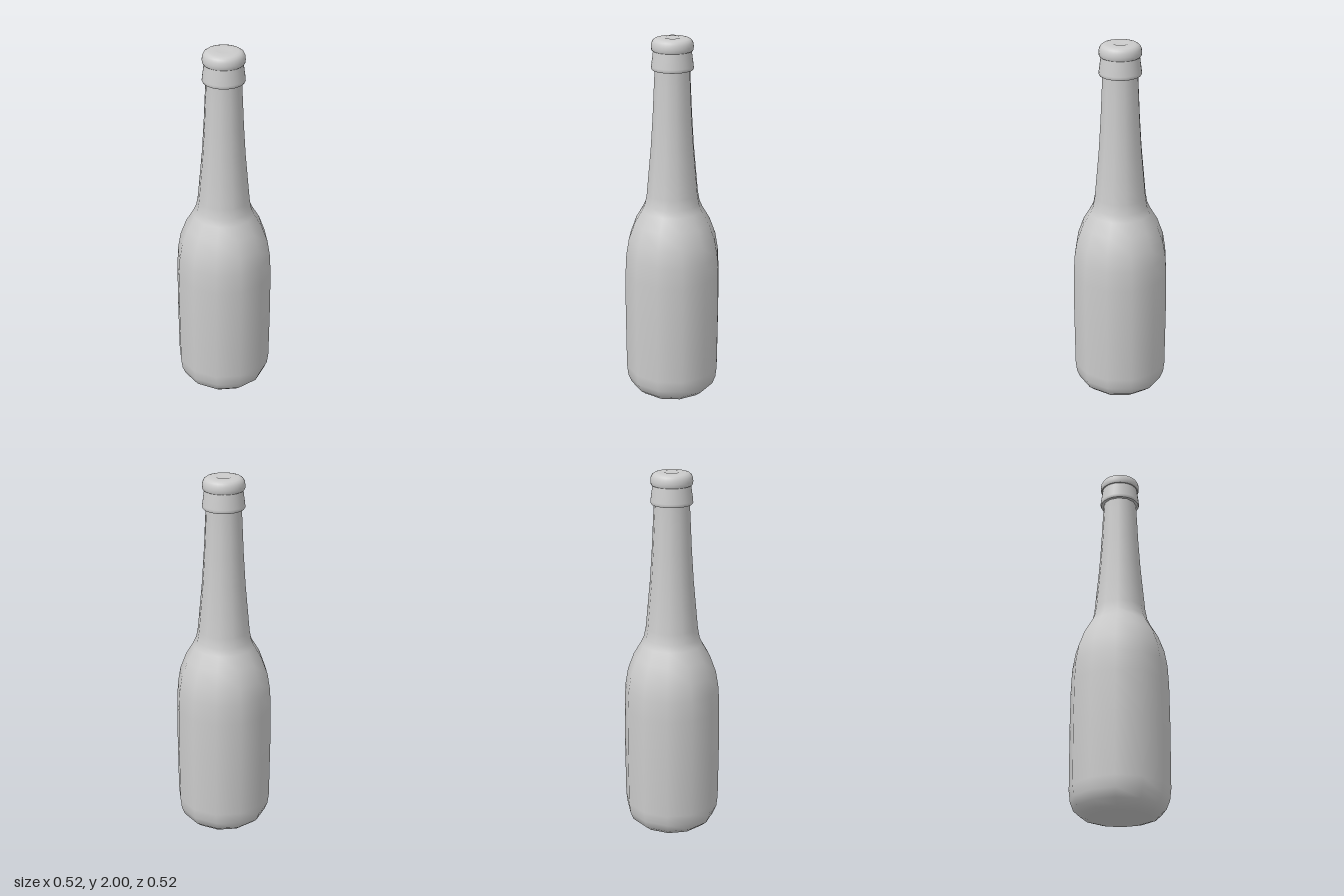
import * as THREE from 'three';

const grey = new THREE.MeshStandardMaterial({ color: 0xcccccc });

// Turns a [radius, height] profile around the y axis, listed from bottom to top
function turned(name, sides, profile) {
  const points = profile.map(([r, y]) => new THREE.Vector2(r, y));
  const mesh = new THREE.Mesh(new THREE.LatheGeometry(points, sides), grey);
  mesh.name = name;
  return mesh;
}

export function createModel() {
  const bottle = new THREE.Group();
  bottle.name = 'bottle';

  // Twelve-sided glass: base, straight wall, shoulder and long neck
  bottle.add(turned('glassBody', 12, [
    [0, 0], [0.16, 0.012], [0.2, 0.024], [0.235, 0.055], [0.253, 0.1], [0.26, 0.16],
    [0.262, 0.5], [0.26, 0.72], [0.254, 0.83], [0.239, 0.92], [0.206, 1.01],
    [0.165, 1.08], [0.149, 1.115], [0.139, 1.17], [0.127, 1.3], [0.115, 1.43],
    [0.104, 1.6], [0.097, 1.75], [0.092, 1.85], [0.092, 1.95],
  ]));

  // Round collar under the cap, flaring downwards
  bottle.add(turned('collarUnderside', 32, [[0.085, 1.837], [0.106, 1.837]]));
  bottle.add(turned('collar', 32, [
    [0.106, 1.837], [0.11, 1.844], [0.109, 1.855], [0.103, 1.9], [0.098, 1.937],
  ]));

  // Rounded cap with a shallow circular step on top
  bottle.add(turned('capUnderside', 32, [[0.085, 1.934], [0.104, 1.934]]));
  bottle.add(turned('cap', 32, [
    [0.104, 1.934], [0.108, 1.94], [0.109, 1.955], [0.107, 1.972], [0.1, 1.986],
    [0.089, 1.994], [0.075, 1.998], [0.042, 2], [0.037, 1.998], [0, 1.998],
  ]));

  return bottle;
}
